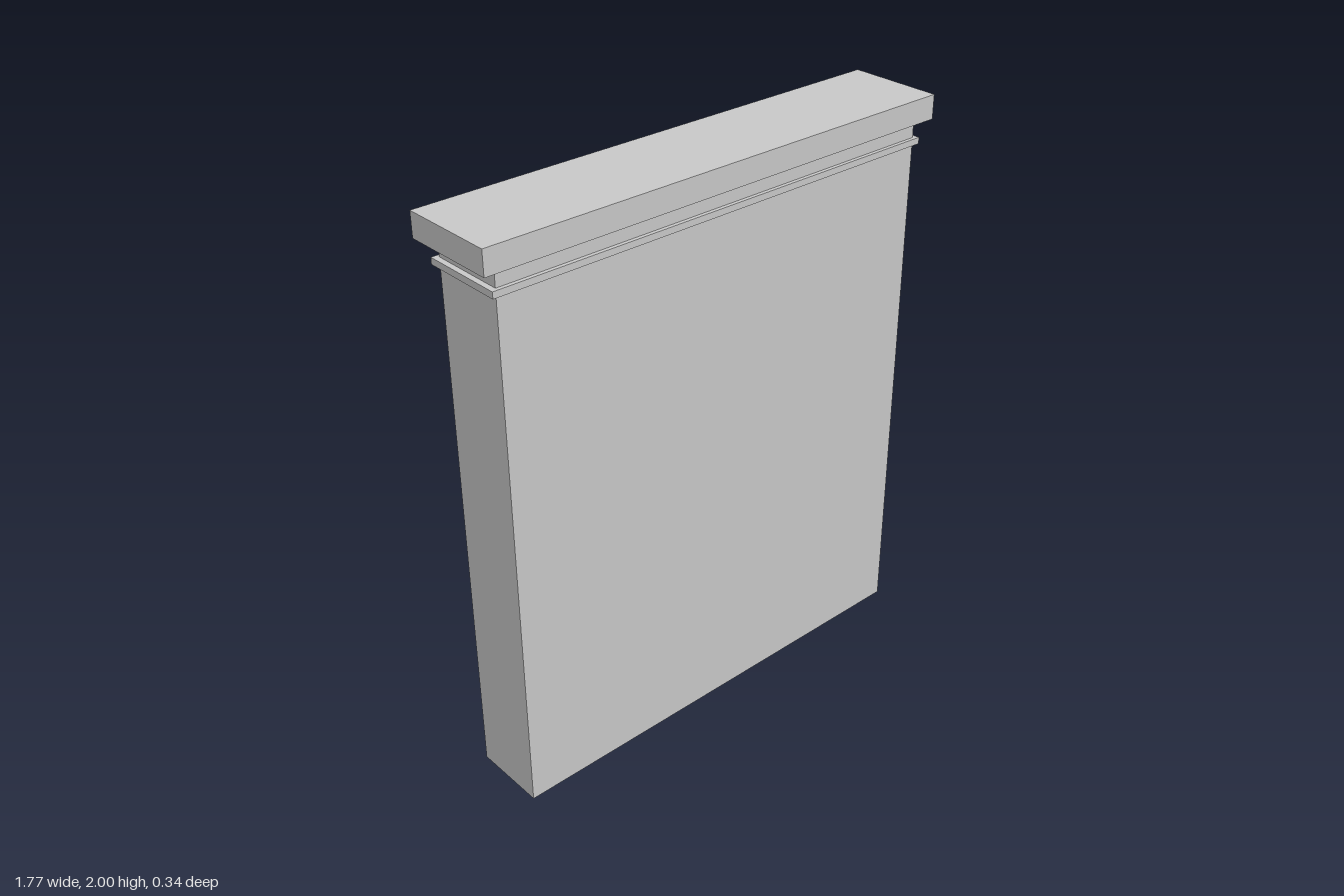
import * as THREE from 'three';

export function createModel() {
  const root = new THREE.Group();
  root.name = 'bookcase';
  const grey = new THREE.MeshStandardMaterial({ color: 0xc8c8c8 });
  grey.name = 'plain grey';

  const add = (name, geometry, parent = root) => {
    const mesh = new THREE.Mesh(geometry, grey);
    mesh.name = name;
    parent.add(mesh);
    return mesh;
  };
  // Box given by its bounds
  const box = (name, x0, x1, y0, y1, z0, z1, parent = root) => {
    const mesh = add(name, new THREE.BoxGeometry(x1 - x0, y1 - y0, z1 - z0), parent);
    mesh.position.set((x0 + x1) / 2, (y0 + y1) / 2, (z0 + z1) / 2);
    return mesh;
  };

  // Outer and inner x limits of the carcass, and its depths
  const XR = -0.831, XL = 0.837, IR = -0.766, IL = 0.771;
  const OPEN = -0.131, BACK = 0.133, SHELF = -0.127, INNER = 0.125;

  // Carcass; the open side is at -z
  box('rightSidePanel', XR, IR, 0, 1.917, OPEN, BACK);
  box('leftSidePanel', IL, XL, 0, 1.917, OPEN, BACK);
  box('backPanel', IR, IL, 0, 1.917, INNER, BACK);
  box('plinth', IR, IL, 0, 0.088, OPEN, INNER);
  box('frieze', IR, IL, 1.833, 1.917, OPEN, INNER);
  box('bead', -0.85, 0.854, 1.835, 1.857, -0.145, 0.146);
  box('cornice', -0.887, 0.887, 1.917, 2, -0.168, 0.168);

  // Full-width shelves, listed by their top
  for (const y of [1.61, 1.34, 1.06, 0.795]) box('shelf', IR, IL, y - 0.028, y, SHELF, INNER);

  // Upright dividers
  box('centreDivider', -0.013, 0.015, 0.795, 1.582, SHELF, INNER);
  box('cubbyDivider', -0.4, -0.372, 1.06, 1.582, SHELF, INNER);
  box('lowerDivider', -0.213, -0.187, 0.088, 0.767, SHELF, INNER);

  // Rails between drawers
  for (const y of [0.625, 0.473, 0.327, 0.206]) box('drawerRail', -0.187, IL, y - 0.009, y + 0.009, SHELF, INNER);
  for (const y of [0.625, 0.473]) box('smallDrawerRail', IR, -0.213, y - 0.009, y + 0.009, SHELF, INNER);

  // Drooping pull, centred on x, standing out toward -z
  const pullCurve = new THREE.CatmullRomCurve3([
    [-0.042, 0.005, 0], [-0.04, 0.005, -0.011], [-0.024, -0.004, -0.017],
    [0, -0.001, -0.018], [0.024, -0.004, -0.017], [0.04, 0.005, -0.011], [0.042, 0.005, 0],
  ].map((p) => new THREE.Vector3(...p)));
  const pullGeometry = new THREE.TubeGeometry(pullCurve, 28, 0.0045, 8);
  const roseGeometry = new THREE.CylinderGeometry(0.009, 0.009, 0.006, 12).rotateX(Math.PI / 2);

  // Drawer with a raised border, a recessed field and a pull
  const drawer = (name, x0, x1, y0, y1, face, border) => {
    const group = new THREE.Group();
    group.name = name;
    root.add(group);
    const rect = (path, a, b, c, d) =>
      path.moveTo(a, c).lineTo(b, c).lineTo(b, d).lineTo(a, d).closePath();
    const shape = rect(new THREE.Shape(), x0, x1, y0, y1);
    shape.holes.push(rect(new THREE.Path(), x0 + border, x1 - border, y0 + border, y1 - border));
    const frame = new THREE.ExtrudeGeometry(shape, { depth: 0.012, bevelEnabled: false });
    add('drawerBorder', frame, group).position.z = face;
    const field = face + 0.007;
    box('drawerField', x0 + border, x1 - border, y0 + border, y1 - border, field, field + 0.005, group);
    box('drawerBody', x0, x1, y0, y1, face + 0.012, INNER, group);

    const pull = new THREE.Group();
    pull.name = 'pull';
    pull.position.set((x0 + x1) / 2, (y0 + y1) / 2, field);
    group.add(pull);
    add('pullBow', pullGeometry, pull);
    for (const s of [-1, 1]) add('pullRose', roseGeometry, pull).position.set(s * 0.042, 0.005, -0.002);
  };

  // Wide stack, and the two narrow drawers level with its top rows
  const rows = [[0.637, 0.764], [0.485, 0.613], [0.339, 0.461], [0.218, 0.315], [0.091, 0.194]];
  rows.forEach(([y0, y1], i) => {
    drawer('wideDrawer', -0.182, 0.766, y0, y1, -0.123, 0.014);
    if (i < 2) drawer('narrowDrawer', -0.761, -0.218, y0, y1, -0.123, 0.014);
  });

  // Two square drawers, set further back
  drawer('squareDrawer', -0.369, -0.016, 1.063, 1.309, -0.108, 0.024);
  drawer('squareDrawer', -0.763, -0.403, 1.063, 1.309, -0.108, 0.024);

  return root;
}
